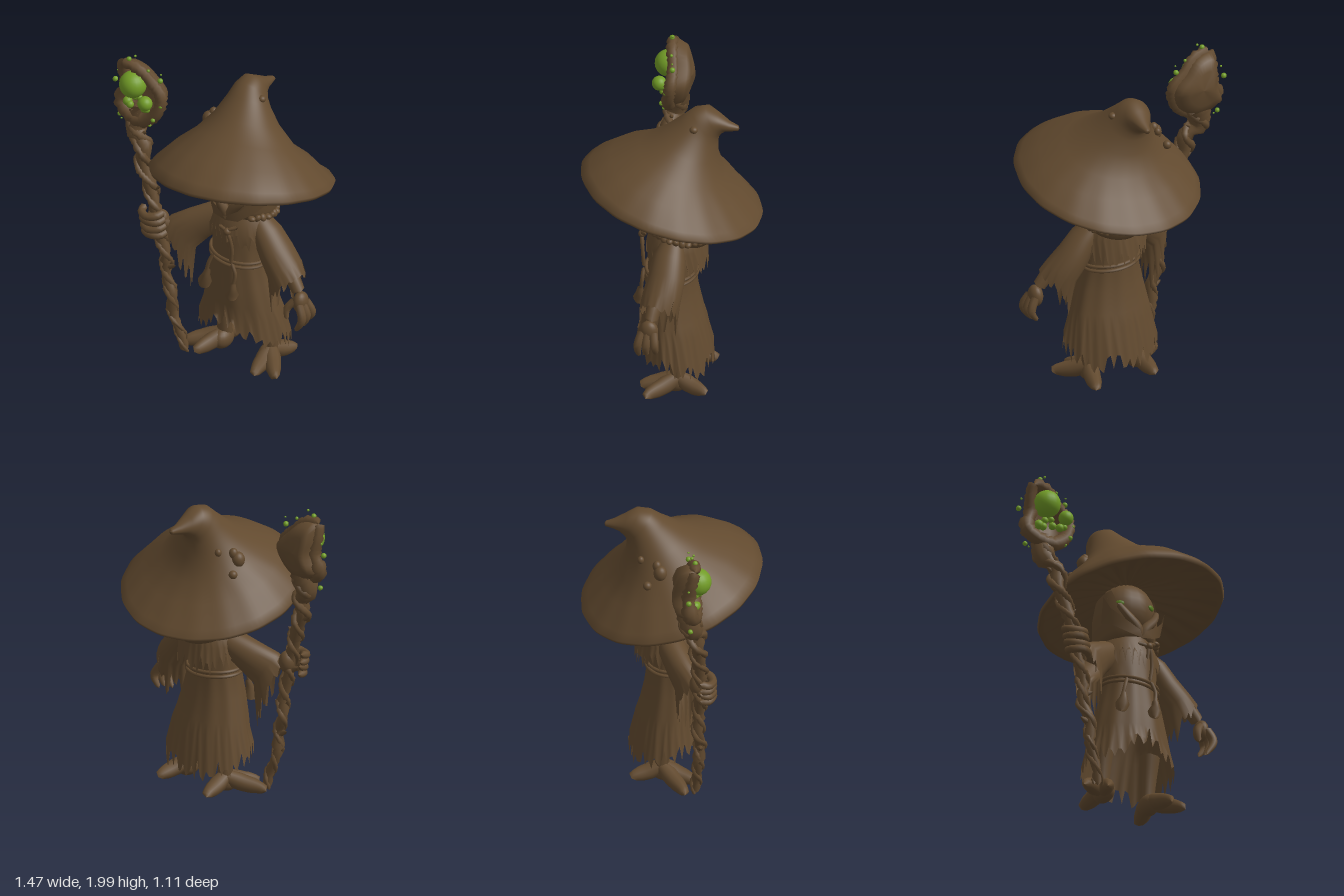
import * as THREE from 'three';

const brown = new THREE.MeshStandardMaterial({ color: 0x624a2f, side: THREE.DoubleSide });
brown.name = 'earth brown';
const green = new THREE.MeshStandardMaterial({ color: 0x729c27 });
green.name = 'glowing moss green';
const eyeGreen = new THREE.MeshStandardMaterial({ color: 0x55771f });
eyeGreen.name = 'dim eye green';

const V = (x, y, z) => new THREE.Vector3(x, y, z);
let seed = 7;
const rnd = () => (seed = (seed * 16807) % 2147483647) / 2147483647;

export function createModel() {
  const root = new THREE.Group();
  root.name = 'mushroomWizard';
  const add = (name, geo, mat = brown) => {
    const m = new THREE.Mesh(geo, mat);
    m.name = name;
    root.add(m);
    return m;
  };

  // Skin stretched over a list of point rings
  const loft = (name, rings, closed = true) => {
    const n = rings[0].length, idx = [], pos = rings.flat().flatMap(p => [p.x, p.y, p.z]);
    for (let r = 0; r + 1 < rings.length; r++)
      for (let i = 0; i < (closed ? n : n - 1); i++) {
        const a = r * n + i, b = r * n + (i + 1) % n;
        idx.push(a, a + n, b, b, a + n, b + n);
      }
    const g = new THREE.BufferGeometry();
    g.setAttribute('position', new THREE.Float32BufferAttribute(pos, 3));
    g.setIndex(idx);
    g.computeVertexNormals();
    return add(name, g);
  };
  const ring = (n, f) => Array.from({ length: n }, (_, i) => f(i / n * Math.PI * 2, i));

  // Tapered tube with closed ends; radii are spread evenly along the path
  const limb = (name, pts, radii, seg = 16, sides = 10, gnarl = 0) => {
    const curve = new THREE.CatmullRomCurve3(pts.map(p => V(...p)));
    const g = new THREE.TubeGeometry(curve, seg, 1, sides);
    const p = g.attributes.position, v = V(0, 0, 0);
    for (let i = 0; i <= seg; i++) {
      const c = curve.getPointAt(i / seg), t = i / seg * (radii.length - 1), k = Math.min(Math.floor(t), radii.length - 2);
      let r = radii[k] + (radii[k + 1] - radii[k]) * (t - k);
      r *= 1 + gnarl * (rnd() - 0.5);
      if (i === 0 || i === seg) r = 0.0005;
      for (let j = 0; j <= sides; j++) {
        const q = i * (sides + 1) + j;
        v.fromBufferAttribute(p, q).sub(c).multiplyScalar(r).add(c);
        p.setXYZ(q, v.x, v.y, v.z);
      }
    }
    return add(name, g);
  };
  const ball = (name, x, y, z, rx, ry = rx, rz = rx, mat = brown) => {
    const m = add(name, new THREE.SphereGeometry(1, 20, 14), mat);
    m.position.set(x, y, z);
    m.scale.set(rx, ry, rz);
    return m;
  };

  // Hat: each row is [centre x, half width, front z, front y, back z, back y, sideways slope, gill depth]
  const hatRows = [
    [0.10, 0.002, -0.408, 1.802, -0.41, 1.798, 0, 0], [0.10, 0.018, -0.40, 1.815, -0.405, 1.782, 0, 0],
    [0.095, 0.035, -0.345, 1.835, -0.36, 1.772, 0, 0], [0.085, 0.06, -0.275, 1.875, -0.325, 1.765, 0, 0],
    [0.08, 0.085, -0.20, 1.918, -0.295, 1.74, 0, 0], [0.085, 0.11, -0.12, 1.895, -0.28, 1.715, 0, 0],
    [0.095, 0.14, -0.05, 1.835, -0.275, 1.68, 0.03, 0], [0.115, 0.21, 0.07, 1.74, -0.28, 1.59, 0.05, 0],
    [0.14, 0.32, 0.2, 1.668, -0.325, 1.45, 0.06, 0], [0.155, 0.44, 0.37, 1.605, -0.42, 1.35, 0.07, 0],
    [0.155, 0.54, 0.5, 1.525, -0.51, 1.225, 0.08, 0], [0.155, 0.575, 0.553, 1.48, -0.553, 1.19, 0.09, 0],
    [0.155, 0.565, 0.543, 1.45, -0.543, 1.17, 0.09, 0], [0.155, 0.53, 0.5, 1.465, -0.505, 1.19, 0.08, 0.01],
    [0.145, 0.37, 0.34, 1.49, -0.36, 1.28, 0.06, 0.022], [0.14, 0.23, 0.2, 1.48, -0.24, 1.34, 0.04, 0.015],
    [0.14, 0.01, 0, 1.46, -0.02, 1.45, 0, 0]];
  loft('hat', hatRows.map(([cx, rx, fz, fy, bz, by, slope, gill]) => ring(96, (a, i) => {
    const c = Math.cos(a), s = Math.sin(a), w = 1 + (rx > 0.4 ? 0.004 * Math.sin(a * 17) : 0);
    return V(cx + rx * c * w, (fy + by) / 2 + s * (fy - by) / 2 + slope * rx * c + (i % 4 < 2 ? gill : -gill) / 2,
      (fz + bz) / 2 + s * w * (fz - bz) / 2);
  })));
  [[-0.18, 1.525, -0.15, 0.027, 0.027], [-0.14, 1.59, -0.07, 0.042, 0.05], [-0.125, 1.565, 0.01, 0.02, 0.02],
    [-0.09, 1.655, -0.19, 0.021, 0.025], [-0.12, 1.63, -0.09, 0.028, 0.035], [0.2, 1.815, -0.145, 0.026, 0.022]]
    .forEach(([x, y, z, r, ry]) => ball('hatWart', x, y, z, r, ry, r));

  // Head and eyes
  ball('head', 0.14, 1.31, -0.03, 0.18, 0.18, 0.16);
  for (const [x, y, z, turn] of [[0.02, 1.305, 0.089, -0.6], [0.235, 1.315, 0.106, 0.45]])
    ball('eye', x, y, z, 0.027, 0.018, 0.009, eyeGreen).rotation.y = turn;

  // Hood collar, open at the front and flaring upwards
  const hoodRows = [[1.07, 0.14, 0.02], [1.045, 0.18, 0.04], [1.10, 0.193, 0.15], [1.18, 0.205, 0.5], [1.27, 0.205, 0.8], [1.38, 0.185, 1.05]];
  const hood = hoodRows.map(([y, r, gap]) => Array.from({ length: 41 }, (_, i) => {
    const a = Math.PI / 2 + gap + (2 * Math.PI - 2 * gap) * i / 40, s = Math.sin(a);
    return V(0.145 + r * 0.96 * Math.cos(a), y + 0.045 * s, -0.055 + r * s);
  }));
  loft('hood', hood, false);
  for (const k of [0, 40]) {
    const side = k ? 1 : -1;
    limb('collarRoll', hood.slice(1, 5).map(r => [r[k].x, r[k].y, r[k].z]), [0.032, 0.03, 0.025, 0.018], 12, 8);
    loft('lapel', [
      [V(0.14, 1.075, 0.155), V(0.14 + side * 0.09, 1.09, 0.15), V(0.14 + side * 0.175, 1.15, 0.08), V(0.14 + side * 0.2, 1.18, 0)],
      [V(0.14 + side * 0.02, 1.12, 0.165), V(0.14 + side * 0.11, 1.175, 0.145), V(0.14 + side * 0.19, 1.25, 0.095), V(0.14 + side * 0.222, 1.33, 0.06)]], false);
  }
  // Beads along the hood
  for (let i = 0; i < 9; i++) {
    const a = 0.75 - i * 0.2;
    ball('bead', 0.145 + 0.19 * Math.cos(a), 1.075 + 0.02 * Math.sin(a * 2), -0.05 + 0.19 * Math.sin(a), 0.026, 0.018, 0.022).rotation.z = i;
  }

  // Cloth rows: [y, centre x, centre z, half width, half depth]; the last row is torn
  const cloth = (name, rows, hem) => loft(name, rows.map(([y, cx, cz, rx, rz], k) => ring(90, (a, i) => {
    const fold = k > 2 ? 1 + 0.015 * Math.sin(a * 11) : 1, last = k === rows.length - 1;
    return V(cx + rx * fold * Math.cos(a), last ? hem(a, i) : y, cz + rz * fold * Math.sin(a));
  })));
  const tear = (i, depth) => (i % 3 ? depth * (0.2 + 0.8 * rnd()) : depth * 0.3 * rnd());
  cloth('robe', [[1.14, 0.14, -0.03, 0.1, 0.1], [1.05, 0.14, -0.02, 0.17, 0.14], [0.9, 0.14, -0.01, 0.185, 0.15],
    [0.78, 0.14, 0, 0.175, 0.145], [0.62, 0.145, 0, 0.215, 0.165], [0.48, 0.15, -0.01, 0.25, 0.185],
    [0.4, 0.155, -0.02, 0.27, 0.2], [0.2, 0.155, -0.03, 0.305, 0.23]], (a, i) => {
    const front = Math.exp(-(((a - Math.PI / 2) / 0.4) ** 2));
    return 0.165 + 0.065 * Math.sin(a) + 0.1 * front + tear(i, 0.14);
  });
  cloth('shoulderCape', [[1.12, 0.14, -0.03, 0.13, 0.13], [1.05, 0.14, -0.03, 0.18, 0.16],
    [0.98, 0.14, -0.025, 0.205, 0.18], [0.85, 0.14, -0.035, 0.215, 0.19]],
  (a, i) => 0.83 + 0.04 * Math.sin(a) + tear(i, 0.14));

  // Belt ropes, cords and pouches
  for (const y of [0.792, 0.762]) {
    const pts = ring(16, a => [0.14 + 0.188 * Math.cos(a), y - 0.012 * Math.cos(a), 0.158 * Math.sin(a)]);
    pts.push(pts[0]);
    limb('beltRope', pts, [0.011, 0.011], 64, 6);
  }
  limb('chestCord', [[0.1, 1.03, 0.165], [0.17, 1.01, 0.18], [0.2, 0.9, 0.17], [0.19, 0.79, 0.165]], [0.012, 0.012], 20, 6);
  limb('chestCord', [[0.23, 1.05, 0.15], [0.175, 1.02, 0.18], [0.165, 0.93, 0.175]], [0.014, 0.01], 16, 6);
  ball('cordKnot', 0.172, 1.015, 0.18, 0.024);
  limb('pouchCord', [[0.195, 0.79, 0.165], [0.225, 0.72, 0.17], [0.215, 0.64, 0.18]], [0.012, 0.012], 12, 6);
  limb('pouch', [[0.215, 0.66, 0.18], [0.215, 0.62, 0.185], [0.21, 0.58, 0.185], [0.21, 0.54, 0.185]], [0.018, 0.025, 0.045, 0.025], 14, 12);
  limb('pouchCord', [[0.04, 0.79, 0.14], [0.015, 0.72, 0.155], [0, 0.66, 0.155]], [0.012, 0.012], 12, 6);
  limb('sideBag', [[0.01, 0.68, 0.15], [0, 0.63, 0.16], [-0.01, 0.58, 0.16], [-0.015, 0.545, 0.155]], [0.015, 0.025, 0.045, 0.03], 14, 12);

  // Sleeves: rows are [x, y, z, half width, half height]; the cuff hangs in tatters
  const sleeve = (name, rows, droop) => {
    const d = V(...rows[rows.length - 1]).sub(V(...rows[0])).normalize();
    const u = V(0, 1, 0).cross(d).normalize(), w = d.clone().cross(u);
    loft(name, rows.map(([x, y, z, ru, rv], k) => ring(42, (a, i) => {
      const p = V(x, y, z).addScaledVector(u, ru * Math.cos(a)).addScaledVector(w, rv * Math.sin(a));
      if (k === rows.length - 1) p.y -= tear(i, droop) * (0.65 - 0.5 * Math.sin(a));
      return p;
    })));
  };
  sleeve('rightSleeve', [[0.04, 1.02, -0.03, 0.07, 0.06], [-0.03, 0.975, 0, 0.085, 0.09], [-0.13, 0.905, 0.05, 0.085, 0.11],
    [-0.21, 0.84, 0.1, 0.085, 0.13], [-0.235, 0.79, 0.12, 0.085, 0.145]], 0.22);
  sleeve('leftSleeve', [[0.26, 1.04, -0.03, 0.07, 0.06], [0.33, 0.965, -0.02, 0.1, 0.085], [0.4, 0.86, -0.015, 0.115, 0.1],
    [0.475, 0.765, 0, 0.12, 0.11], [0.515, 0.71, 0.015, 0.115, 0.12]], 0.2);

  // Right arm and gripping hand
  limb('rightForearm', [[-0.1, 0.93, 0.03], [-0.24, 0.89, 0.12], [-0.33, 0.89, 0.17]], [0.05, 0.045, 0.045], 12);
  ball('rightPalm', -0.335, 0.905, 0.155, 0.05, 0.07, 0.05);
  for (let i = 0; i < 4; i++) {
    const y = 0.84 + i * 0.043, x = -0.355 - i * 0.008, dip = 0.012 * (i % 2);
    limb('rightFinger', [[x + 0.07, y + 0.01, 0.17], [x + 0.055, y, 0.225], [x, y - dip, 0.25], [x - 0.06, y - 0.005, 0.22], [x - 0.065, y + dip, 0.17]],
      [0.024, 0.027, 0.025, 0.024], 14, 8);
  }

  // Left arm and hanging hand
  limb('leftForearm', [[0.42, 0.87, 0], [0.55, 0.75, 0.03], [0.62, 0.66, 0.045]], [0.05, 0.05, 0.04], 12);
  ball('leftPalm', 0.63, 0.61, 0.05, 0.045, 0.07, 0.058);
  for (const [x, y, z] of [[0.63, 0.43, 0.11], [0.65, 0.45, 0.06], [0.64, 0.46, 0.005]])
    limb('leftFinger', [[0.64, 0.62, z * 0.6 + 0.02], [0.682, 0.53, z], [x, y, z]], [0.028, 0.027, 0.012], 12, 8);
  limb('leftThumb', [[0.61, 0.63, 0.08], [0.57, 0.57, 0.11], [0.575, 0.5, 0.12]], [0.026, 0.024, 0.012], 12, 8);

  // Legs and cloven feet with a rear toe
  for (const [name, x, z, toes] of [
    ['left', 0.32, -0.07, [[0.465, 0.09], [0.35, 0.14], [0.37, -0.24]]],
    ['right', -0.015, -0.06, [[-0.205, 0.07], [-0.09, 0.13], [-0.04, -0.235]]]]) {
    limb(name + 'Leg', [[x, 0.42, z + 0.03], [x, 0.25, z + 0.01], [x, 0.1, z], [x, 0.04, z]], [0.065, 0.055, 0.045, 0.055], 14);
    ball(name + 'Ankle', x, 0.075, z + 0.02, 0.06, 0.068, 0.085);
    toes.forEach(([tx, tz]) => limb(name + 'Toe',
      [[x, 0.105, z], [(x + tx) / 2, 0.07, (z + tz) / 2], [tx, 0.042, tz], [tx + (tx - x) * 0.15, 0.028, tz + (tz - z) * 0.06]],
      [0.045, 0.055, 0.048, 0.026], 14));
  }

  // Gnarled staff with vines twisting round it
  const path = [[-0.17, 0.01, 0.14], [-0.19, 0.12, 0.15], [-0.245, 0.27, 0.16], [-0.25, 0.42, 0.17], [-0.295, 0.52, 0.16], [-0.295, 0.66, 0.165],
    [-0.335, 0.82, 0.17], [-0.375, 1.0, 0.17], [-0.425, 1.15, 0.16], [-0.475, 1.28, 0.155], [-0.475, 1.38, 0.145], [-0.55, 1.46, 0.12], [-0.53, 1.6, 0.09]];
  limb('staff', path, [0.025, 0.033, 0.036, 0.034, 0.036, 0.038, 0.045, 0.08], 80, 10, 0.45);
  const axis = new THREE.CatmullRomCurve3(path.map(p => V(...p)));
  for (const off of [0, Math.PI]) {
    const vine = Array.from({ length: 50 }, (_, i) => {
      const t = i / 49, p = axis.getPointAt(t), a = t * 32 + off, r = 0.026 + 0.028 * t * t;
      return [p.x + r * Math.cos(a), p.y, p.z + r * Math.sin(a)];
    });
    limb('staffVine', vine, [0.012, 0.018, 0.018, 0.028], 150, 7, 0.5);
  }
  [[0.24, -1], [0.36, 1], [0.52, -1], [0.68, 1], [0.76, -1], [0.83, -1], [0.9, 1]].forEach(([t, s]) => {
    const p = axis.getPointAt(t);
    limb('staffThorn', [[p.x, p.y, p.z], [p.x + s * 0.04, p.y + 0.01, p.z], [p.x + s * 0.07, p.y + 0.025, p.z]], [0.03, 0.02, 0.004], 8, 7);
  });

  // Staff head: a hollow shell with a knobbly rim
  const rim = new THREE.CatmullRomCurve3([[-0.63, 1.92, 0.14], [-0.53, 1.905, 0.13], [-0.45, 1.83, 0.11], [-0.37, 1.74, 0.11],
    [-0.395, 1.63, 0.13], [-0.5, 1.55, 0.14], [-0.61, 1.57, 0.13], [-0.665, 1.63, 0.11], [-0.635, 1.74, 0.1], [-0.645, 1.85, 0.12]]
    .map(p => V(...p)), true);
  const rimPts = rim.getPoints(40);
  limb('staffHeadRim', rimPts.map(p => [p.x, p.y, p.z]), [0.036, 0.034, 0.042, 0.045, 0.036], 80, 9, 0.4);
  loft('staffHeadShell', [[1, 0], [1.04, 0.04], [0.92, 0.09], [0.6, 0.115], [0.01, 0.12]].map(([s, back]) =>
    rimPts.slice(0, 40).map(p => V(-0.53 + (p.x + 0.53) * s, 1.73 + (p.y - 1.73) * s, 0.13 + (p.z - 0.13) * s - back))));

  // Glowing orbs and drifting drops: [x, y, z, radius]
  [[-0.55, 1.8, 0.155, 0.085], [-0.435, 1.72, 0.19, 0.046], [-0.6, 1.655, 0.14, 0.03], [-0.575, 1.645, 0.15, 0.024], [-0.5, 1.67, 0.14, 0.024],
    [-0.46, 1.66, 0.16, 0.026], [-0.435, 1.665, 0.17, 0.02], [-0.51, 1.71, 0.14, 0.02], [-0.55, 1.7, 0.13, 0.022]]
    .forEach(o => ball('orb', ...o, o[3], o[3], green));
  [[-0.72, 1.75, 0.1, 0.017], [-0.68, 1.52, 0.11, 0.015], [-0.385, 1.855, 0.1, 0.017], [-0.39, 1.605, 0.17, 0.014],
    [-0.42, 1.555, 0.16, 0.011], [-0.59, 1.96, 0.14, 0.016], [-0.55, 1.99, 0.13, 0.008], [-0.46, 1.91, 0.12, 0.01],
    [-0.355, 1.7, 0.14, 0.012], [-0.7, 1.82, 0.1, 0.007], [-0.66, 1.5, 0.12, 0.006], [-0.38, 1.9, 0.1, 0.006]]
    .forEach(o => ball('drop', ...o, o[3], o[3], green));
  return root;
}
